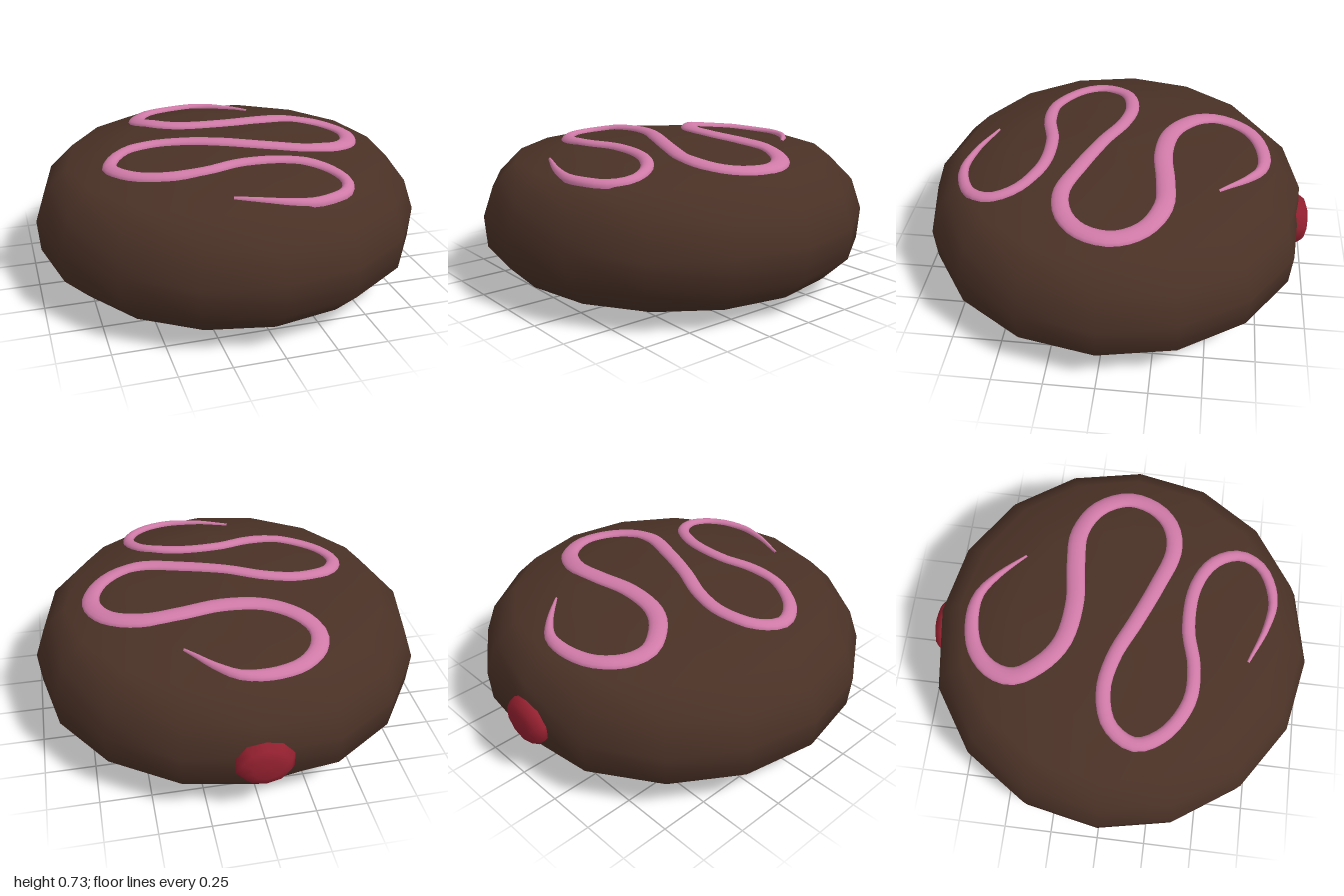
import * as THREE from 'three';

const SIDES = 16;
// bun profile as [radius, height], bottom to top
const PROFILE = [[0, 0], [0.54, 0.018], [0.85, 0.077], [0.975, 0.2], [0.988, 0.36], [0.935, 0.515], [0.815, 0.635], [0.5, 0.688], [0, 0.715]];
// centre line of the icing as x, z pairs, back to front
const SQUIGGLE = [
  0.29, -0.52, 0.16, -0.66, 0.06, -0.73, -0.07, -0.745, -0.235, -0.7, -0.335, -0.6, -0.36, -0.48, -0.28, -0.35,
  -0.155, -0.265, 0.055, -0.235, 0.27, -0.26, 0.45, -0.265, 0.61, -0.185, 0.685, -0.04, 0.65, 0.105, 0.55, 0.2,
  0.4, 0.23, 0.19, 0.165, -0.02, 0.08, -0.21, -0.005, -0.385, -0.035, -0.55, 0.015, -0.625, 0.145, -0.56, 0.28,
  -0.385, 0.385, -0.21, 0.39, -0.02, 0.345, 0.215, 0.36, 0.375, 0.45, 0.435, 0.58, 0.385, 0.69, 0.215, 0.76,
  0.055, 0.735, -0.145, 0.655,
];
// icing half-widths at even steps along the line
const WIDTHS = [0.006, 0.034, 0.045, 0.047, 0.048, 0.046, 0.043, 0.04, 0.037, 0.036, 0.034, 0.033, 0.032, 0.027, 0.007];

// height of the faceted dome at x, z
function domeHeight(x, z) {
  const step = (2 * Math.PI) / SIDES;
  const a = Math.atan2(x, z) + 2 * Math.PI;
  const r = Math.hypot(x, z) * Math.cos((a % step) - step / 2) / Math.cos(step / 2);
  const [[r0, y0], [r1, y1], [r2, y2]] = PROFILE.slice(-3);
  return r > r1 ? y1 + (y0 - y1) * (r - r1) / (r0 - r1) : y2 + (y1 - y2) * (r - r2) / (r1 - r2);
}

function widthAt(t) {
  const f = t * (WIDTHS.length - 1);
  const i = Math.min(Math.floor(f), WIDTHS.length - 2);
  return THREE.MathUtils.lerp(WIDTHS[i], WIDTHS[i + 1], f - i);
}

// half-round bead draped over the dome
function icingGeometry() {
  const points = [];
  for (let i = 0; i < SQUIGGLE.length; i += 2) points.push(new THREE.Vector3(SQUIGGLE[i], 0, SQUIGGLE[i + 1]));
  const curve = new THREE.CatmullRomCurve3(points);
  const steps = 130, arc = 8, pos = [], index = [];
  for (let i = 0; i <= steps; i++) {
    const t = i / steps, p = curve.getPointAt(t), d = curve.getTangentAt(t), w = widthAt(t);
    const h = Math.min(0.024, w * 0.9 + 0.004);
    for (let j = 0; j <= arc; j++) {
      const a = -0.3 + (Math.PI + 0.6) * j / arc;
      const x = p.x + d.z * w * Math.cos(a), z = p.z - d.x * w * Math.cos(a);
      pos.push(x, domeHeight(x, z) + h * Math.sin(a), z);
      if (i < steps && j < arc) {
        const n = i * (arc + 1) + j, m = n + arc + 1;
        index.push(n, n + 1, m, n + 1, m + 1, m);
      }
    }
  }
  const g = new THREE.BufferGeometry();
  g.setAttribute('position', new THREE.Float32BufferAttribute(pos, 3));
  g.setIndex(index);
  g.computeVertexNormals();
  return g;
}

function lathe(profile, sides) {
  return new THREE.LatheGeometry(profile.map(([r, y]) => new THREE.Vector2(r, y)), sides);
}

export function createModel() {
  const chocolate = new THREE.MeshStandardMaterial({ name: 'chocolate brown', color: 0x4a3126 });
  const pink = new THREE.MeshStandardMaterial({ name: 'icing pink', color: 0xd07aa8 });
  const red = new THREE.MeshStandardMaterial({ name: 'jam red', color: 0x93202f });
  const group = new THREE.Group();
  const add = (name, geometry, material) => {
    const mesh = new THREE.Mesh(geometry, material);
    mesh.name = name;
    group.add(mesh);
    return mesh;
  };

  // bun, pressed in slightly at the back where it was filled
  const bun = lathe(PROFILE, SIDES);
  const p = bun.attributes.position;
  for (let i = 0; i < p.count; i++) p.setZ(i, Math.max(p.getZ(i), -0.95));
  add('bun', bun, chocolate);

  add('icing', icingGeometry(), pink);

  // flattened drop of jam, axis turned towards the back
  const jam = add('jamFilling', lathe([[0.13, -0.05], [0.146, 0], [0.12, 0.033], [0.07, 0.049], [0, 0.051]], 10), red);
  jam.rotation.x = -Math.PI / 2;
  jam.scale.z = 0.82;
  jam.position.set(-0.005, 0.307, -0.949);

  return group;
}
